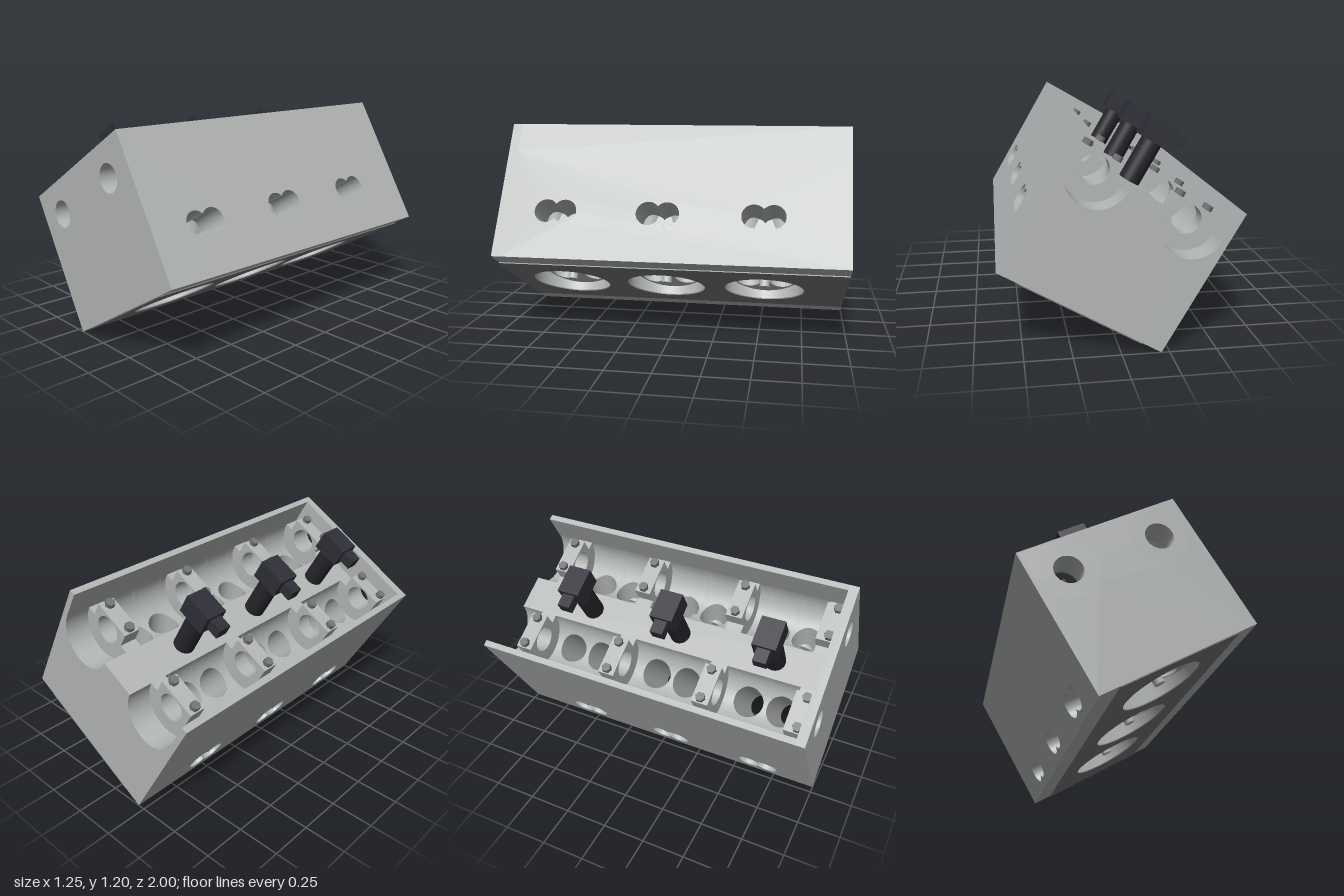
import * as THREE from 'three';

const W = 0.48, H = 0.835, DECK = 0.653;          // half width, height, cam deck level
const CAM = 0.277, TROUGH = 0.168, BORE = 0.079;  // cam centre offset, trough and shaft bore radius
const REAR = -1, INNER = 0.945;                   // rear end, inside of front wall
const CYL = [-0.525, 0.067, 0.66];                // cylinder centres along z
const BEARINGS = [-0.804, -0.233, 0.36, 0.895];
const TILT = 0.28, ROOF = Math.tan(TILT);         // valve angle and roof slope
const CHAMBER = 0.235, RIM = 0.05;
const roofY = u => RIM + ROOF * (CHAMBER - Math.abs(u));

// Lofted surface from a rule, n x m cells
function grid(n, m, fn, flip = false) {
  const pos = [], idx = [];
  for (let i = 0; i <= n; i++) for (let j = 0; j <= m; j++) pos.push(...fn(i / n, j / m));
  for (let i = 0; i < n; i++) for (let j = 0; j < m; j++) {
    const a = i * (m + 1) + j, b = a + m + 1;
    if (flip) idx.push(a, a + 1, b, b, a + 1, b + 1);
    else idx.push(a, b, a + 1, b, b + 1, a + 1);
  }
  const g = new THREE.BufferGeometry();
  g.setAttribute('position', new THREE.Float32BufferAttribute(pos, 3));
  g.setIndex(idx);
  g.computeVertexNormals();
  return g;
}

// Flat shape placed in space by a rule
function panel(shape, fn, flip = false) {
  const g = new THREE.ShapeGeometry(shape, 32), p = g.attributes.position;
  for (let i = 0; i < p.count; i++) p.setXYZ(i, ...fn(p.getX(i), p.getY(i)));
  if (flip) g.setIndex(Array.from(g.index.array).reverse());
  g.computeVertexNormals();
  return g;
}

const rect = (x0, y0, x1, y1) => new THREE.Shape([[x0, y0], [x1, y0], [x1, y1], [x0, y1]].map(p => new THREE.Vector2(...p)));
const circle = (x, y, r) => new THREE.Path().absarc(x, y, r, 0, Math.PI * 2, false);

// Twin port outline in (height, z)
function twinPort(v, z) {
  const r = 0.069, d = 0.054, b = Math.asin(d / r), s = new THREE.Shape();
  s.absarc(v, z + d, r, -b, Math.PI + b, false);
  s.absarc(v, z - d, r, Math.PI - b, 2 * Math.PI + b, false);
  return s;
}

export function createModel() {
  const model = new THREE.Group();
  const head = new THREE.Group();
  head.name = 'cylinderHead';
  head.rotation.z = Math.PI / 6;
  head.position.set(0.2085, 0.2425, 0);
  model.add(head);

  const mat = (name, color) => Object.assign(new THREE.MeshStandardMaterial({ color }), { name });
  const metal = mat('cast metal', 0xb3b7b6);
  metal.side = THREE.DoubleSide;
  const gasketMat = mat('dark gasket', 0x77787a);
  const boltMat = mat('bolt steel', 0x737578);
  const bodyMat = mat('black plastic', 0x2e2e37);
  const stemMat = mat('black stem', 0x26262b);
  const add = (name, geo, material, x = 0, y = 0, z = 0) => {
    const m = new THREE.Mesh(geo, material);
    m.name = name;
    m.position.set(x, y, z);
    head.add(m);
    return m;
  };

  // Front wall with the bearing bosses set into it
  const wall = rect(-W, 0, W, H);
  for (const s of [-1, 1]) wall.holes.push(circle(s * CAM, DECK, TROUGH));
  add('frontWall', new THREE.ExtrudeGeometry(wall, { depth: 1 - INNER, bevelEnabled: false, curveSegments: 32 }), metal, 0, 0, INNER);

  // Rear face with the two open troughs
  const rear = new THREE.Shape();
  rear.moveTo(-W, 0).lineTo(W, 0).lineTo(W, DECK).lineTo(CAM + TROUGH, DECK);
  rear.absarc(CAM, DECK, TROUGH, 0, -Math.PI, true);
  rear.lineTo(-CAM + TROUGH, DECK);
  rear.absarc(-CAM, DECK, TROUGH, 0, -Math.PI, true);
  rear.lineTo(-W, DECK);
  add('rearFace', panel(rear, (x, y) => [x, y, REAR], true), metal);

  // Underside and gasket, both opened for the chambers
  const floor = rect(-W, REAR, W, INNER), gasket = rect(-0.36, -1, 0.36, 1);
  for (const c of CYL) {
    floor.holes.push(circle(0, c, CHAMBER));
    gasket.holes.push(circle(0, c, CHAMBER));
  }
  add('underside', panel(floor, (x, y) => [x, 0, y]), metal);
  add('gasket', new THREE.ExtrudeGeometry(gasket, { depth: 0.006, bevelEnabled: false, curveSegments: 32 }).rotateX(Math.PI / 2), gasketMat);

  // Deck between the cam troughs
  const e = CAM - TROUGH;
  add('centreDeck', panel(rect(-e, REAR, e, INNER), (x, y) => [x, DECK, y], true), metal);

  const bearing = new THREE.Shape();
  bearing.absarc(0, 0, TROUGH, Math.PI, 2 * Math.PI, false);
  bearing.lineTo(0.118, 0).lineTo(0.118, 0.087).lineTo(-0.118, 0.087).lineTo(-0.118, 0);
  bearing.holes.push(circle(0, 0, BORE));
  const bearingGeo = new THREE.ExtrudeGeometry(bearing, { depth: 0.1, bevelEnabled: false, curveSegments: 32 });
  const boss = new THREE.Shape().absarc(0, 0, TROUGH, 0, Math.PI * 2, false);
  boss.holes.push(circle(0, 0, BORE));
  const bossGeo = new THREE.ExtrudeGeometry(boss, { depth: 1 - INNER, bevelEnabled: false, curveSegments: 32 });
  const boltGeo = new THREE.CylinderGeometry(0.028, 0.028, 0.03, 6);

  for (const s of [-1, 1]) {
    const right = s === 1;

    // Side: thin upper wall, lower panel with twin ports
    const t = W - CAM - TROUGH;
    add('sideWall', new THREE.BoxGeometry(t, H - DECK, INNER - REAR), metal, s * (W - t / 2), (H + DECK) / 2, (INNER + REAR) / 2);
    const portY = right ? 0.284 : 0.12;
    const side = rect(0, REAR, DECK, INNER);
    for (const c of CYL) {
      const port = twinPort(portY, c);
      side.holes.push(port);
      const pts = port.getPoints(24), n = pts.length, inner = s * (right ? 0.25 : 0.27);
      add('portChannel', grid(n, 1, (i, j) => {
        const p = pts[Math.round(i * n) % n];
        return [s * W + (inner - s * W) * j, p.x, p.y];
      }, !right), metal);
      add('portEnd', panel(twinPort(portY, c), (a, b) => [inner, a, b], !right), metal);
    }
    add('sideFace', panel(side, (a, b) => [s * W, a, b], !right), metal);

    // Cam trough, angle 0 at the bottom and positive towards the centre
    const onTrough = (a, z) => [s * (CAM - TROUGH * Math.sin(a)), DECK - TROUGH * Math.cos(a), z];
    const gaps = [REAR, ...CYL.flatMap(c => [c - 0.2, c + 0.2]), INNER];
    for (let k = 0; k < gaps.length; k += 2)
      add('camTrough', grid(32, 1, (i, j) => onTrough((i - 0.5) * Math.PI, gaps[k] + (gaps[k + 1] - gaps[k]) * j), !right), metal);

    for (const c of CYL) for (const dz of [-0.1, 0.1]) {
      const zc = c + dz, rTop = 0.088, rLow = 0.075;
      // Trough section around a valve opening
      add('valveTrough', grid(64, 8, (i, j) => {
        const w = i * Math.PI * 2, x = Math.cos(w), y = Math.sin(w), q = Math.max(Math.abs(x), Math.abs(y));
        const a = TILT + Math.asin(rTop * x / TROUGH);
        return onTrough(a + (x / q * Math.PI / 2 - a) * j, zc + rTop * y + (0.1 * y / q - rTop * y) * j);
      }, right), metal);
      // Inclined bore from the chamber roof up to the trough
      const reach = (DECK - roofY(0.114)) / Math.cos(TILT);
      add('valveBore', grid(48, 1, (i, j) => {
        const w = i * Math.PI * 2, r = j ? rTop : rLow, p = r * Math.cos(w);
        const d = j ? Math.sqrt(TROUGH ** 2 - p * p) : reach;
        const u = CAM - d * Math.sin(TILT) - p * Math.cos(TILT);
        return [s * u, DECK - d * Math.cos(TILT) + p * Math.sin(TILT), zc + r * Math.sin(w)];
      }, right), metal);
    }

    // Half of each pent roof, with two valve openings
    for (const c of CYL) {
      const roof = new THREE.Shape();
      const a0 = right ? -Math.PI / 2 : Math.PI / 2;
      roof.absarc(0, c, CHAMBER, a0, a0 + Math.PI, false);
      const uc = CAM - (DECK - roofY(0.114)) * ROOF;
      for (const dz of [-0.1, 0.1])
        roof.holes.push(new THREE.Path().absellipse(s * uc, c + dz, 0.075 * Math.cos(TILT), 0.075, 0, Math.PI * 2, false, 0));
      add('chamberRoof', panel(roof, (u, z) => [u, roofY(u), z]), metal);
    }

    // Cam bearings with caps and bolts
    add('frontBearing', bossGeo, metal, s * CAM, DECK, INNER);
    for (const z of BEARINGS) {
      add('camBearing', bearingGeo, metal, s * CAM, DECK, z - 0.05);
      for (const d of [-0.087, 0.087])
        add('capBolt', boltGeo, boltMat, s * CAM + d, DECK + 0.1, z === BEARINGS[3] ? z + 0.02 : z);
    }
  }

  for (const c of CYL) {
    // Chamber wall rising to the roof
    add('chamberWall', grid(64, 1, (i, j) => {
      const w = i * Math.PI * 2, u = CHAMBER * Math.cos(w);
      return [u, j * roofY(u), c + CHAMBER * Math.sin(w)];
    }), metal);
    // Injector: nozzle, stem, body and plug
    add('injectorNozzle', new THREE.CylinderGeometry(0.03, 0.03, 0.125, 24), metal, 0, 0.0725, c);
    add('injectorStem', new THREE.CylinderGeometry(0.061, 0.061, 0.26, 32), stemMat, 0, 0.78, c);
    add('injectorBody', new THREE.BoxGeometry(0.172, 0.122, 0.134), bodyMat, 0, 0.962, c);
    add('injectorPlug', new THREE.BoxGeometry(0.085, 0.066, 0.074), bodyMat, -0.122, 0.97, c);
  }
  return model;
}
